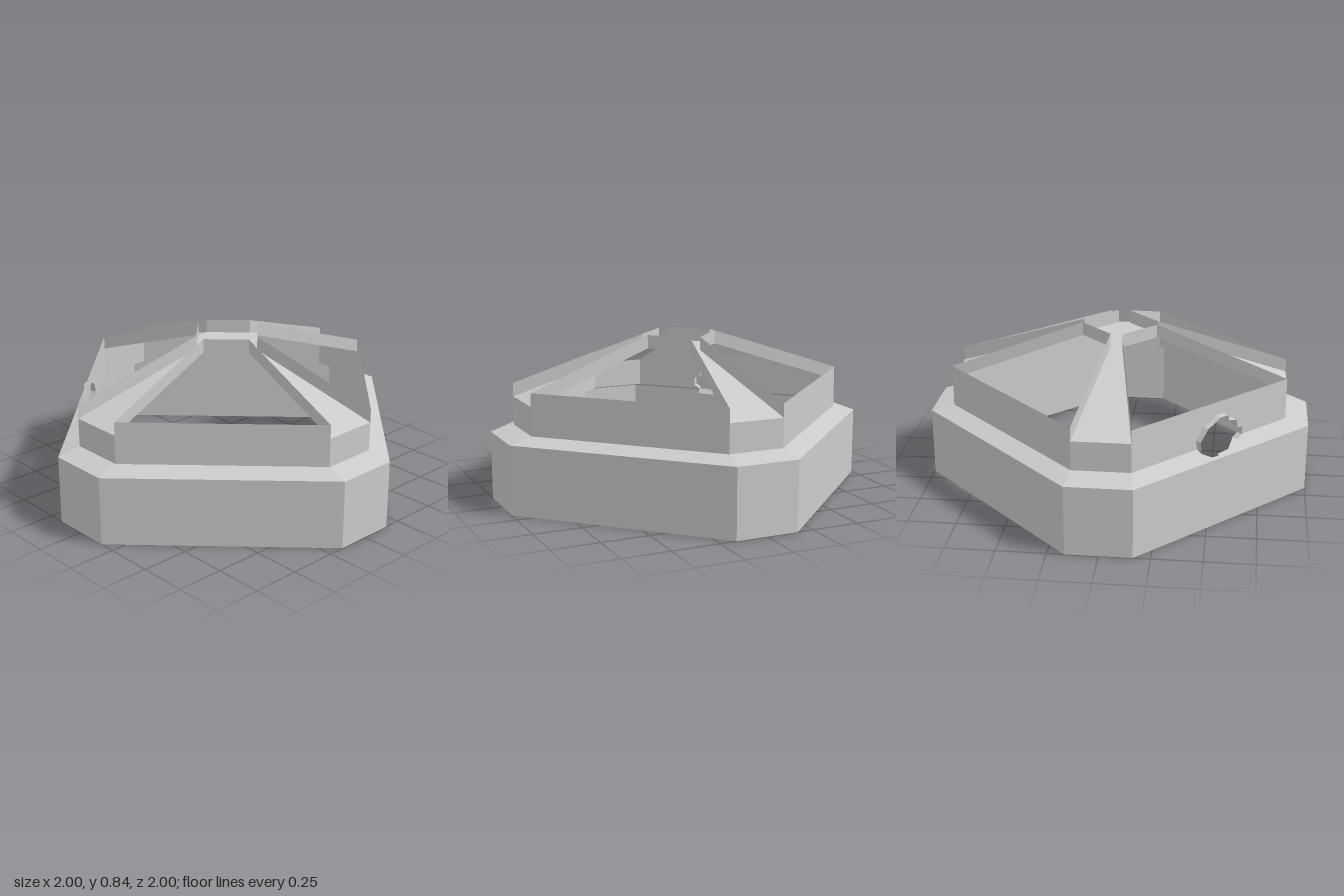
import * as THREE from 'three';

const material = new THREE.MeshStandardMaterial({ color: 0xcccccc, flatShading: true, side: THREE.DoubleSide });

// Eight-cornered ring: even edges are the long diagonals, odd edges the short axis-facing sides
const ring = (a, r, y) => [[a, r], [r, a], [r, -a], [a, -r], [-a, -r], [-r, -a], [-r, a], [-a, r]]
  .map(([x, z]) => new THREE.Vector3(x, y, z));

function facesMesh(name, polygons) {
  const pos = [];
  for (const p of polygons)
    for (let i = 1; i < p.length - 1; i++)
      for (const v of [p[0], p[i], p[i + 1]]) pos.push(v.x, v.y, v.z);
  const g = new THREE.BufferGeometry();
  g.setAttribute('position', new THREE.Float32BufferAttribute(pos, 3));
  g.computeVertexNormals();
  const mesh = new THREE.Mesh(g, material);
  mesh.name = name;
  return mesh;
}

// Quads between two rings, on the edges that pass the test
function band(lower, upper, test = () => true) {
  const quads = [];
  for (let i = 0; i < 8; i++) {
    const j = (i + 1) % 8;
    if (test(i)) quads.push([lower[i], lower[j], upper[j], upper[i]]);
  }
  return quads;
}

// Flat panel with a ragged notch in its lower edge, plus a thin lip along the notch
function brokenPanel(name, w0, w1, height, notch, z0, z1, matrix) {
  const outline = [[w1, height], [-w1, height], [-w0, 0], ...notch, [w0, 0]];
  const panel = new THREE.Mesh(
    new THREE.ShapeGeometry(new THREE.Shape(outline.map(([x, y]) => new THREE.Vector2(x, y)))), material);
  panel.name = name;
  const lipFaces = [];
  for (let i = 0; i < notch.length - 1; i++) {
    const [a, b] = [notch[i], notch[i + 1]];
    lipFaces.push([new THREE.Vector3(...a, z0), new THREE.Vector3(...b, z0),
      new THREE.Vector3(...b, z1), new THREE.Vector3(...a, z1)]);
  }
  const group = new THREE.Group();
  group.name = name + 'Section';
  group.add(panel, facesMesh(name + 'HoleLip', lipFaces));
  group.applyMatrix4(matrix);
  return group;
}

export function createModel() {
  const model = new THREE.Group();
  model.name = 'octagonalRoof';
  const BROKEN = 4; // the damaged diagonal side

  const base = ring(0.165, 1, 0), baseTop = ring(0.165, 1, 0.36);
  const wallFoot = ring(0.145, 0.88, 0.39);
  const wallLow = ring(0.145, 0.88, 0.54), wallTop = ring(0.145, 0.88, 0.61);
  const hub = ring(0.03, 0.195, 0.77), hubTop = ring(0.03, 0.195, 0.84);

  // Open-bottomed lower skirt, sloping ledge and upper walls
  model.add(facesMesh('lowerWall', band(base, baseTop)));
  model.add(facesMesh('ledge', band(baseTop, wallFoot, i => i !== BROKEN)));
  model.add(facesMesh('upperLongWalls', band(wallFoot, wallTop, i => i % 2 === 0 && i !== BROKEN)));
  model.add(facesMesh('upperShortWalls', band(wallFoot, wallLow, i => i % 2 === 1)));

  // Sunken sloping ribs running up to the flat hub
  model.add(facesMesh('ribs', band(wallLow, hub, i => i % 2 === 1)));
  model.add(facesMesh('hub', [hub]));

  // Upright borders around the four open windows
  const borders = band(hub, hubTop, i => i % 2 === 0);
  for (let i = 0; i < 8; i++) borders.push([wallLow[i], hub[i], hubTop[i], wallTop[i]]);
  model.add(facesMesh('windowBorders', borders));

  // Damaged side: one hole crossing the fold between wall and ledge
  const mid = (p) => p[BROKEN].clone().add(p[BROKEN + 1]).multiplyScalar(0.5);
  const foot = mid(wallFoot), outer = mid(baseTop);
  const along = wallFoot[BROKEN + 1].clone().sub(wallFoot[BROKEN]);
  const halfFoot = along.length() / 2;
  const halfOuter = baseTop[BROKEN].distanceTo(baseTop[BROKEN + 1]) / 2;
  along.normalize();
  const frame = (x, y, origin) => new THREE.Matrix4()
    .makeBasis(x, y, x.clone().cross(y)).setPosition(origin);

  const wallNotch = [[-0.1, 0], [-0.11, 0.05], [-0.06, 0.11], [0.02, 0.15], [0.07, 0.15],
    [0.08, 0.12], [0.13, 0.11], [0.14, 0.07], [0.17, 0.06], [0.17, 0.02], [0.14, 0]];
  model.add(brokenPanel('brokenWall', halfFoot, halfFoot, 0.22, wallNotch, 0, 0.035,
    frame(along, new THREE.Vector3(0, 1, 0), foot)));

  const ledgeNotch = [[-0.14, 0], [-0.1, 0.03], [-0.05, 0.065], [0.02, 0.07], [0.03, 0.085],
    [0.07, 0.08], [0.1, 0.04], [0.1, 0]];
  const down = outer.clone().sub(foot);
  const depth = down.length();
  model.add(brokenPanel('brokenLedge', halfFoot, halfOuter, depth, ledgeNotch, -0.03, 0,
    frame(along.clone().negate(), down.normalize(), foot)));

  return model;
}
